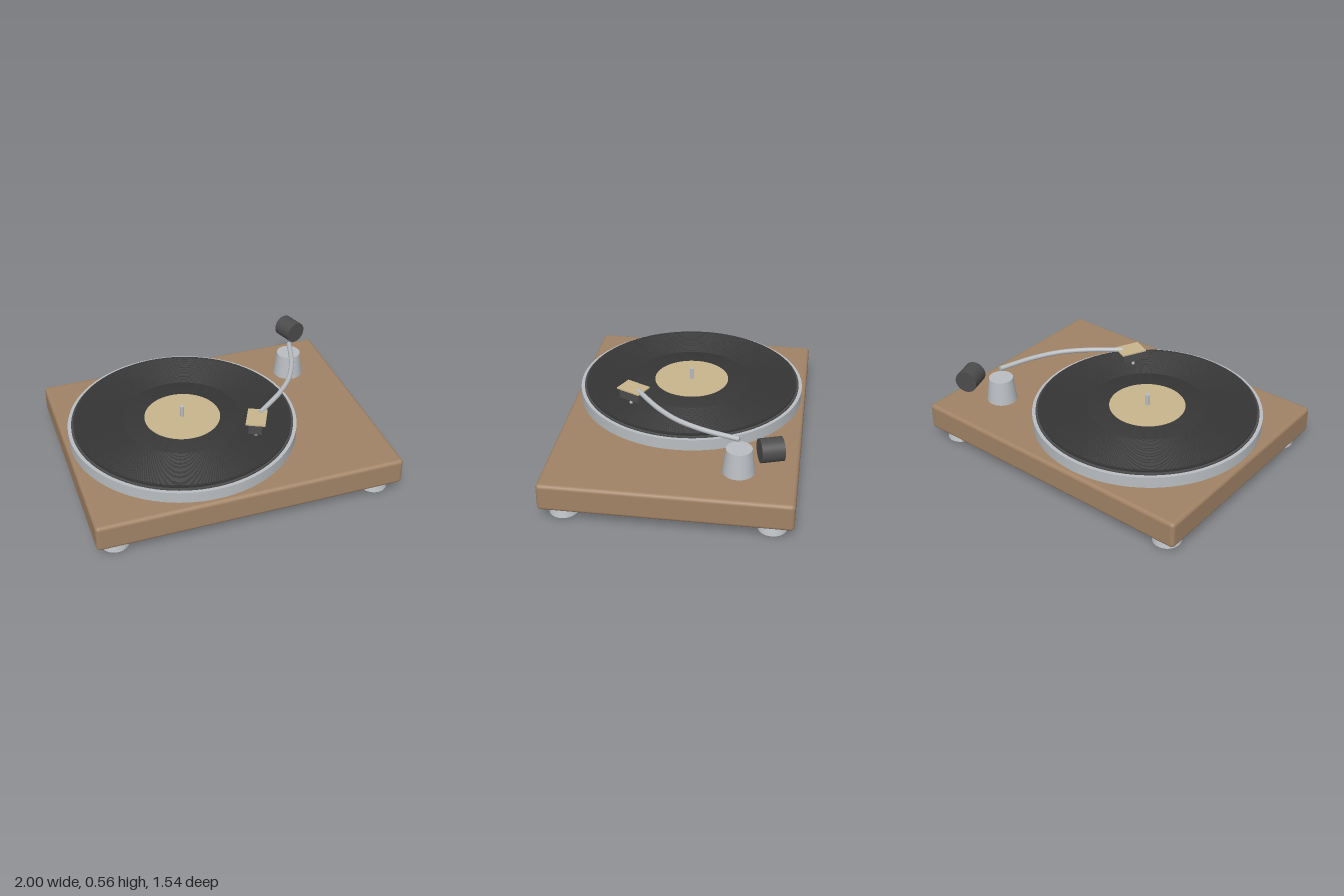
import * as THREE from 'three';
import { toCreasedNormals } from 'three/addons/utils/BufferGeometryUtils.js';
import { RoundedBoxGeometry } from 'three/addons/geometries/RoundedBoxGeometry.js';

const material = (name, color) => {
  const m = new THREE.MeshStandardMaterial({ color });
  m.name = name;
  return m;
};

export function createModel() {
  const wood = material('wood', 0xa08265);
  const metal = material('brushed metal', 0xb9bdc1);
  const vinyl = material('vinyl', 0x363636);
  const dark = material('dark grey', 0x4c4c4c);
  const tan = material('tan', 0xc8b48c);

  const model = new THREE.Group();
  model.name = 'turntable';

  const add = (name, geometry, mat, x = 0, y = 0, z = 0, parent = model) => {
    const mesh = new THREE.Mesh(geometry, mat);
    mesh.name = name;
    mesh.position.set(x, y, z);
    parent.add(mesh);
    return mesh;
  };
  // Cylinder or cone standing between two heights
  const upright = (name, rTop, rBottom, y0, y1, mat, x, z, segments = 32, parent = model) =>
    add(name, new THREE.CylinderGeometry(rTop, rBottom, y1 - y0, segments), mat, x, (y0 + y1) / 2, z, parent);

  // Plinth on four tapered feet
  add('plinth', new RoundedBoxGeometry(2, 0.18, 1.54, 4, 0.025), wood, 0, 0.168, 0);
  for (const sx of [-1, 1])
    for (const sz of [-1, 1]) upright('foot', 0.066, 0.089, 0, 0.08, metal, sx * 0.865, sz * 0.637);

  // Platter and mat
  const px = -0.23;
  upright('platter', 0.745, 0.745, 0.266, 0.341, metal, px, 0, 96);
  upright('mat', 0.722, 0.722, 0.341, 0.35, dark, px, 0, 96);

  // Record: rim, then V grooves running inward, then the flat centre
  const top = 0.361, outer = 0.695, inner = 0.385, grooves = 36;
  const pitch = (outer - inner) / grooves;
  const profile = [new THREE.Vector2(0.708, 0.35), new THREE.Vector2(0.708, top)];
  for (let i = 0; i < grooves; i++) {
    const r = outer - i * pitch;
    profile.push(new THREE.Vector2(r, top), new THREE.Vector2(r - pitch / 2, top - 0.002));
  }
  profile.push(new THREE.Vector2(inner, top), new THREE.Vector2(0, top));
  add('record', toCreasedNormals(new THREE.LatheGeometry(profile, 96), 0.5), vinyl, px, 0, 0);
  upright('recordLabel', 0.247, 0.247, top, 0.364, tan, px, 0, 64);
  upright('spindle', 0.013, 0.013, 0.36, 0.44, metal, px, 0, 20);

  // Tonearm pivot
  upright('pivotBase', 0.08, 0.1, 0.257, 0.42, metal, 0.678, -0.41, 40);

  // Curved arm tube with flat end caps
  const armY = 0.486, armR = 0.016;
  const curve = new THREE.CatmullRomCurve3(
    [[0.68, -0.41], [0.605, -0.18], [0.515, -0.01], [0.395, 0.125], [0.2, 0.285]]
      .map(([x, z]) => new THREE.Vector3(x, armY, z)));
  add('armTube', new THREE.TubeGeometry(curve, 48, armR, 14), metal);
  for (const t of [0, 1]) {
    const p = curve.getPoint(t);
    const cap = add('armCap', new THREE.CircleGeometry(armR, 14), metal, p.x, p.y, p.z);
    cap.lookAt(p.clone().addScaledVector(curve.getTangent(t), t ? 1 : -1));
  }

  // Counterweight lying behind the pivot
  const weight = add('counterweight', new THREE.CylinderGeometry(0.073, 0.073, 0.138, 36), dark, 0.761, 0.483, -0.602);
  weight.rotation.set(Math.PI / 2, 0, -0.33);

  // Headshell plate, cartridge and stylus turned together
  const head = new THREE.Group();
  head.name = 'headshell';
  head.position.set(0.163, 0, 0.325);
  head.rotation.y = -0.45;
  model.add(head);
  add('headshellPlate', new THREE.BoxGeometry(0.125, 0.009, 0.172), tan, 0, 0.484, 0, head);
  add('cartridge', new THREE.BoxGeometry(0.086, 0.07, 0.148), dark, 0, 0.445, 0.005, head);
  upright('stylus', 0.004, 0.011, 0.365, 0.412, metal, 0, 0.022, 12, head);

  return model;
}
